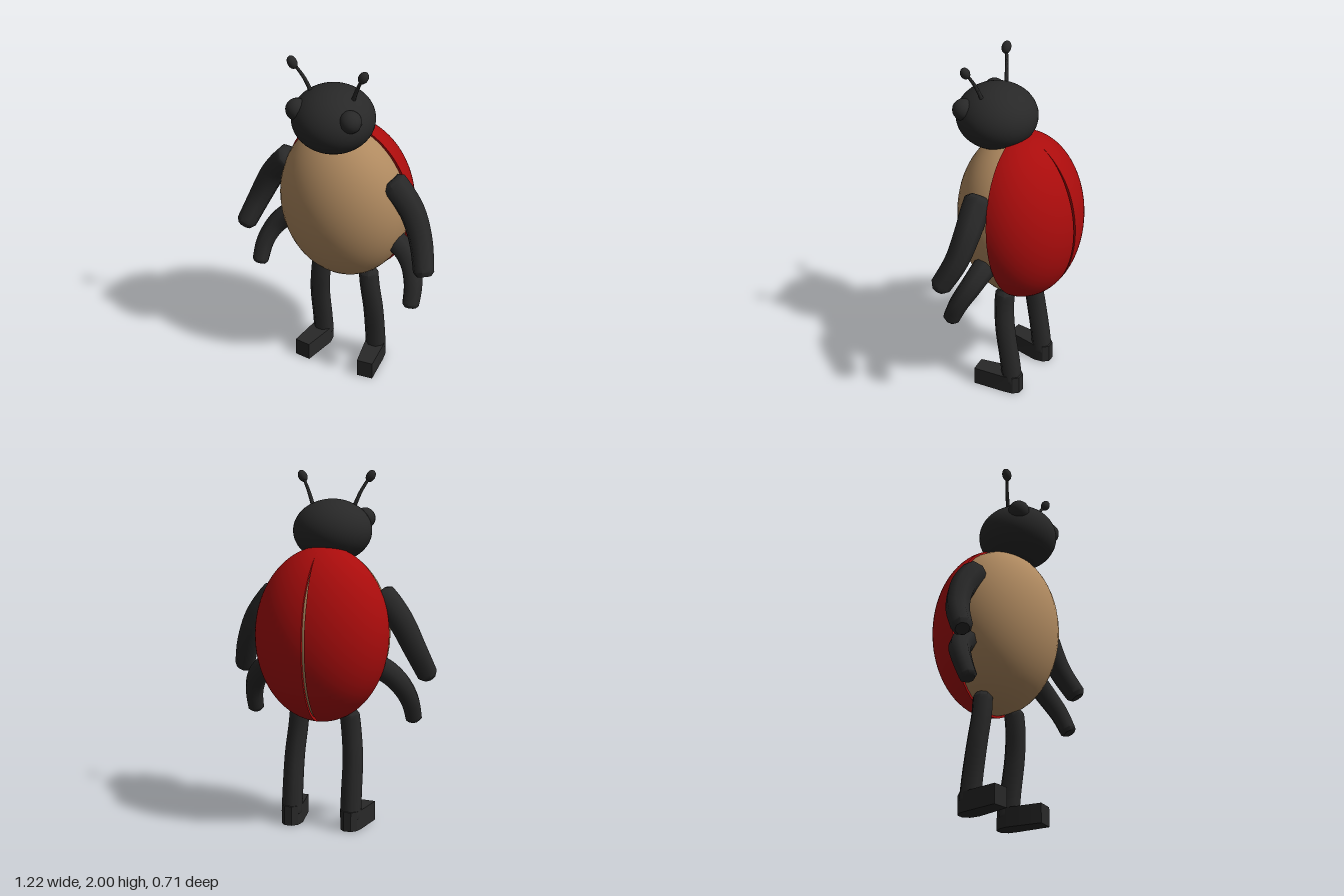
import * as THREE from 'three';
import { toCreasedNormals } from 'three/addons/utils/BufferGeometryUtils.js';

const black = new THREE.MeshStandardMaterial({ color: 0x282828 });
const tan = new THREE.MeshStandardMaterial({ color: 0xb08a60 });
const red = new THREE.MeshStandardMaterial({ color: 0xaa0c0c });
const V = (x, y, z) => new THREE.Vector3(x, y, z);

// Solid skin over a list of equal rings, closed at both ends
function loft(rings, crease = 0.9) {
  const n = rings[0].length, pts = rings.flat(), index = [];
  for (let i = 0; i < rings.length - 1; i++) {
    for (let j = 0; j < n; j++) {
      const a = i * n + j, b = i * n + (j + 1) % n;
      index.push(a, b, b + n, a, b + n, a + n);
    }
  }
  for (const i of [0, rings.length - 1]) {
    const c = rings[i].reduce((s, p) => s.add(p), V(0, 0, 0)).divideScalar(n);
    const k = pts.push(c) - 1;
    for (let j = 0; j < n; j++) {
      const a = i * n + j, b = i * n + (j + 1) % n;
      if (i) index.push(a, b, k);
      else index.push(b, a, k);
    }
  }
  const geo = new THREE.BufferGeometry().setFromPoints(pts);
  geo.setIndex(index);
  return toCreasedNormals(geo, crease);
}

// Rings reflected to the other side, keeping faces outward
const mirror = (rings, side) => side > 0 ? rings
  : rings.map(r => r.map(p => V(-p.x, p.y, p.z)).reverse());

// Eight-sided tapering limb with bevelled ends
function limb(points, r0, r1, side) {
  const curve = new THREE.CatmullRomCurve3(points.map(p => V(...p)));
  const steps = 24, frames = curve.computeFrenetFrames(steps);
  const rings = [];
  for (let i = 0; i <= steps; i++) {
    const end = i === 0 || i === steps;
    const r = THREE.MathUtils.lerp(r0, r1, i / steps) * (end ? 0.7 : 1);
    const p = curve.getPointAt(i / steps), ring = [];
    for (let j = 0; j < 8; j++) {
      const a = (j + 0.5) * Math.PI / 4;
      ring.push(p.clone()
        .addScaledVector(frames.normals[i], r * Math.cos(a))
        .addScaledVector(frames.binormals[i], r * Math.sin(a)));
    }
    rings.push(ring);
  }
  return loft(mirror(rings, side));
}

// Quarter-ellipsoid wing case with thickness and a narrow gap on the spine
function wingCase(side) {
  const rings = [], rows = 40, cols = 20;
  for (let i = 0; i <= rows; i++) {
    const th = THREE.MathUtils.lerp(Math.PI - 0.02, 0.02, i / rows);
    const gap = 0.009 * THREE.MathUtils.clamp((0.88 - Math.cos(th)) / 0.5, 0, 1);
    const arc = t => Array.from({ length: cols + 1 }, (_, j) => {
      const ph = j / cols * Math.PI / 2;
      return V(Math.max((0.386 - t) * Math.sin(th) * Math.cos(ph), gap),
        (0.49 - t) * Math.cos(th),
        -(0.322 - t) * Math.sin(th) * Math.sin(ph));
    });
    rings.push([...arc(0), ...arc(0.016).reverse()]);
  }
  return loft(mirror(rings, side), 0.7);
}

// Block foot with a rounded heel, toes turned slightly out
function foot(side) {
  const outline = [[0.16, 0.16], [0.255, 0.15], [0.236, -0.04], [0.226, -0.095],
    [0.198, -0.125], [0.155, -0.125], [0.128, -0.095], [0.12, -0.04]];
  const rings = [0, 0.11].map(y => outline.map(([x, z]) => V(x, y, z)));
  return loft(mirror(rings, side), 0.5);
}

export function createModel() {
  const model = new THREE.Group();
  const add = (name, geo, mat, pos = [0, 0, 0], scale = [1, 1, 1]) => {
    const mesh = new THREE.Mesh(geo, mat);
    mesh.name = name;
    mesh.position.set(...pos);
    mesh.scale.set(...scale);
    model.add(mesh);
    return mesh;
  };
  const ball = new THREE.SphereGeometry(1, 40, 28);
  const smallBall = new THREE.SphereGeometry(1, 16, 12);

  // Body and head
  add('body', ball, tan, [0, 1.095, -0.006], [0.373, 0.48, 0.328]).rotation.x = 0.09;
  add('head', ball, black, [0, 1.663, 0.132], [0.223, 0.178, 0.223]);

  for (const side of [1, -1]) {
    const tag = side > 0 ? 'left' : 'right';

    // Wing cases
    add(tag + 'WingCase', wingCase(side), red, [0, 1.096, -0.034]).rotation.x = 0.08;

    // Eyes and antennae
    add(tag + 'Eye', smallBall, black, [side * 0.155, 1.73, 0.245], [0.06, 0.06, 0.06]);
    add(tag + 'Antenna', limb([[0.115, 1.78, 0.145], [0.155, 1.88, 0.165],
      [0.195, 1.955, 0.19]], 0.012, 0.008, side), black);
    add(tag + 'AntennaTip', smallBall, black, [side * 0.203, 1.966, 0.196],
      [0.026, 0.036, 0.026]).rotation.z = -side * 0.5;

    // Upper arms, lower arms, legs and feet
    add(tag + 'UpperArm', limb([[0.3, 1.325, 0.055], [0.355, 1.27, 0.055], [0.43, 1.17, 0.055],
      [0.5, 1.02, 0.085], [0.562, 0.85, 0.165]], 0.08, 0.057, side), black);
    add(tag + 'LowerArm', limb([[0.3, 0.925, 0.012], [0.36, 0.895, 0.02], [0.425, 0.83, 0.045],
      [0.47, 0.73, 0.095], [0.482, 0.605, 0.15]], 0.068, 0.048, side), black);
    add(tag + 'Leg', limb([[0.147, 0.67, -0.004], [0.16, 0.55, -0.002], [0.174, 0.4, -0.018],
      [0.176, 0.2, -0.048], [0.176, 0.04, -0.066]], 0.056, 0.06, side), black);
    add(tag + 'Foot', foot(side), black);
  }
  return model;
}
